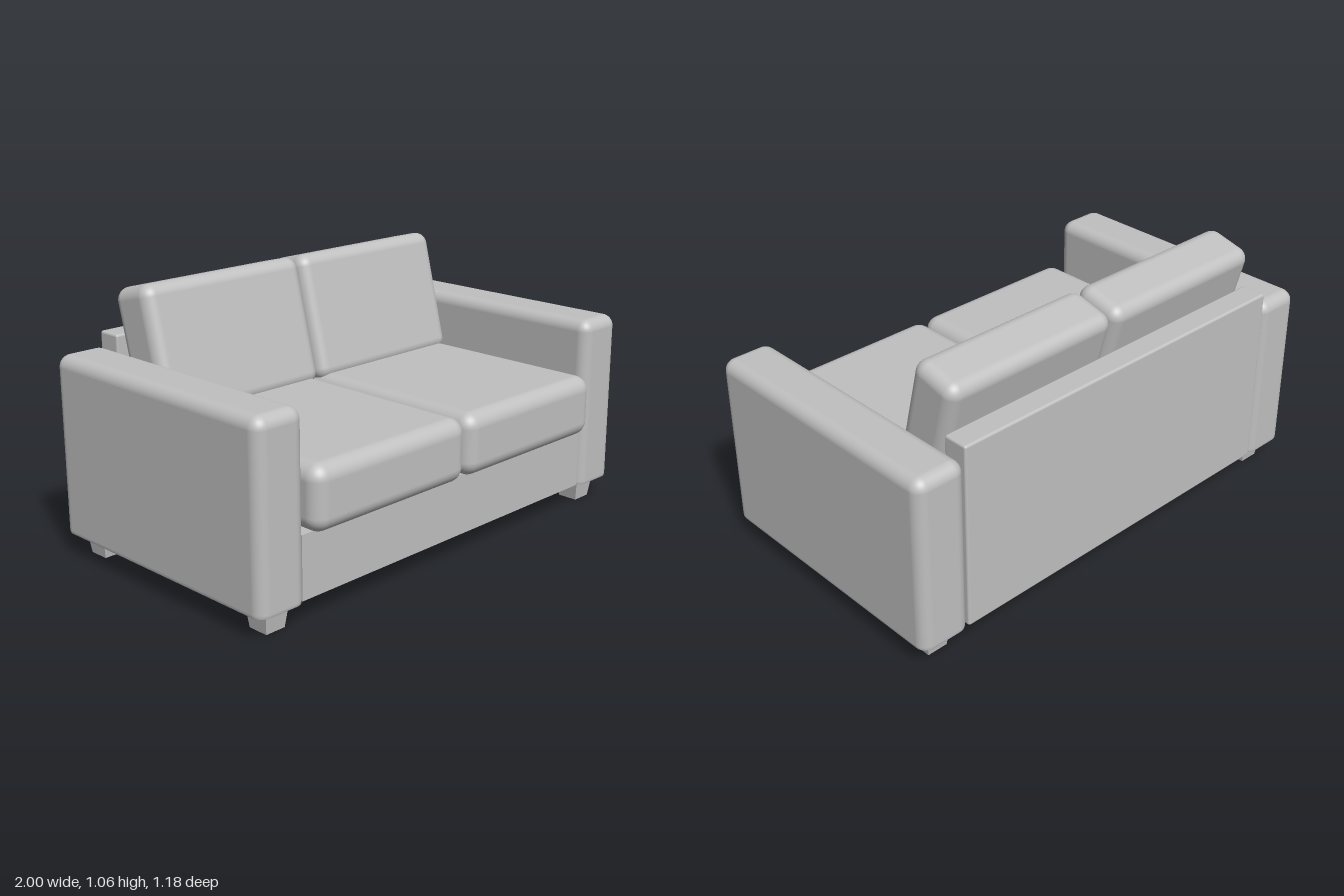
import * as THREE from 'three';
import { RoundedBoxGeometry } from 'three/addons/geometries/RoundedBoxGeometry.js';

// Rounded box between two corners, cut flat underneath.
function flatBottomBox(min, max, radius) {
  const extra = radius * 0.7;
  const w = max[0] - min[0], h = max[1] - min[1] + extra, d = max[2] - min[2];
  const geo = new RoundedBoxGeometry(w, h, d, 5, radius);
  geo.translate((min[0] + max[0]) / 2, max[1] - h / 2, (min[2] + max[2]) / 2);
  const pos = geo.attributes.position, normal = geo.attributes.normal;
  for (let i = 0; i < pos.count; i += 3) {
    let cut = 0;
    for (let j = i; j < i + 3; j++) {
      if (pos.getY(j) <= min[1]) { pos.setY(j, min[1]); cut++; }
    }
    if (cut === 3) for (let j = i; j < i + 3; j++) normal.setXYZ(j, 0, -1, 0);
  }
  return geo;
}

export function createModel() {
  const sofa = new THREE.Group();
  sofa.name = 'sofa';
  const fabric = new THREE.MeshStandardMaterial({ color: 0xc0c0c0 });
  fabric.name = 'grey';

  function add(name, geometry, x = 0, y = 0, z = 0) {
    const mesh = new THREE.Mesh(geometry, fabric);
    mesh.name = name;
    mesh.position.set(x, y, z);
    sofa.add(mesh);
    return mesh;
  }

  // Frame: seat base and back panel between the arms
  add('seatBase', new THREE.BoxGeometry(1.58, 0.245, 1.01), 0, 0.2125, 0.015);
  add('backPanel', new RoundedBoxGeometry(1.58, 0.76, 0.105, 3, 0.01), 0, 0.47, -0.535);

  for (const side of [-1, 1]) {
    const label = side > 0 ? 'left' : 'right';

    // Arm with soft top and front edges
    const arm = flatBottomBox([-0.1075, 0.09, -0.59], [0.1075, 0.797, 0.54], 0.048);
    add(label + 'Arm', arm, side * 0.8925);

    // Seat cushion, pulled in towards its lower edge
    const seat = new RoundedBoxGeometry(0.778, 0.25, 0.98, 6, 0.06);
    add(label + 'SeatCushion', seat, side * 0.391, 0.46, 0.096);

    // Back cushion leaning on the back panel
    const back = new RoundedBoxGeometry(0.776, 0.52, 0.212, 6, 0.05);
    add(label + 'BackCushion', back, side * 0.391, 0.79, -0.354).rotation.x = -0.25;

    // Tapered square feet
    for (const [end, z] of [['Front', 0.442], ['Back', -0.48]]) {
      const foot = new THREE.CylinderGeometry(0.078, 0.06, 0.1, 4).toNonIndexed();
      foot.rotateY(Math.PI / 4);
      foot.computeVertexNormals();
      add(label + end + 'Foot', foot, side * 0.885, 0.05, z);
    }
  }
  return sofa;
}
